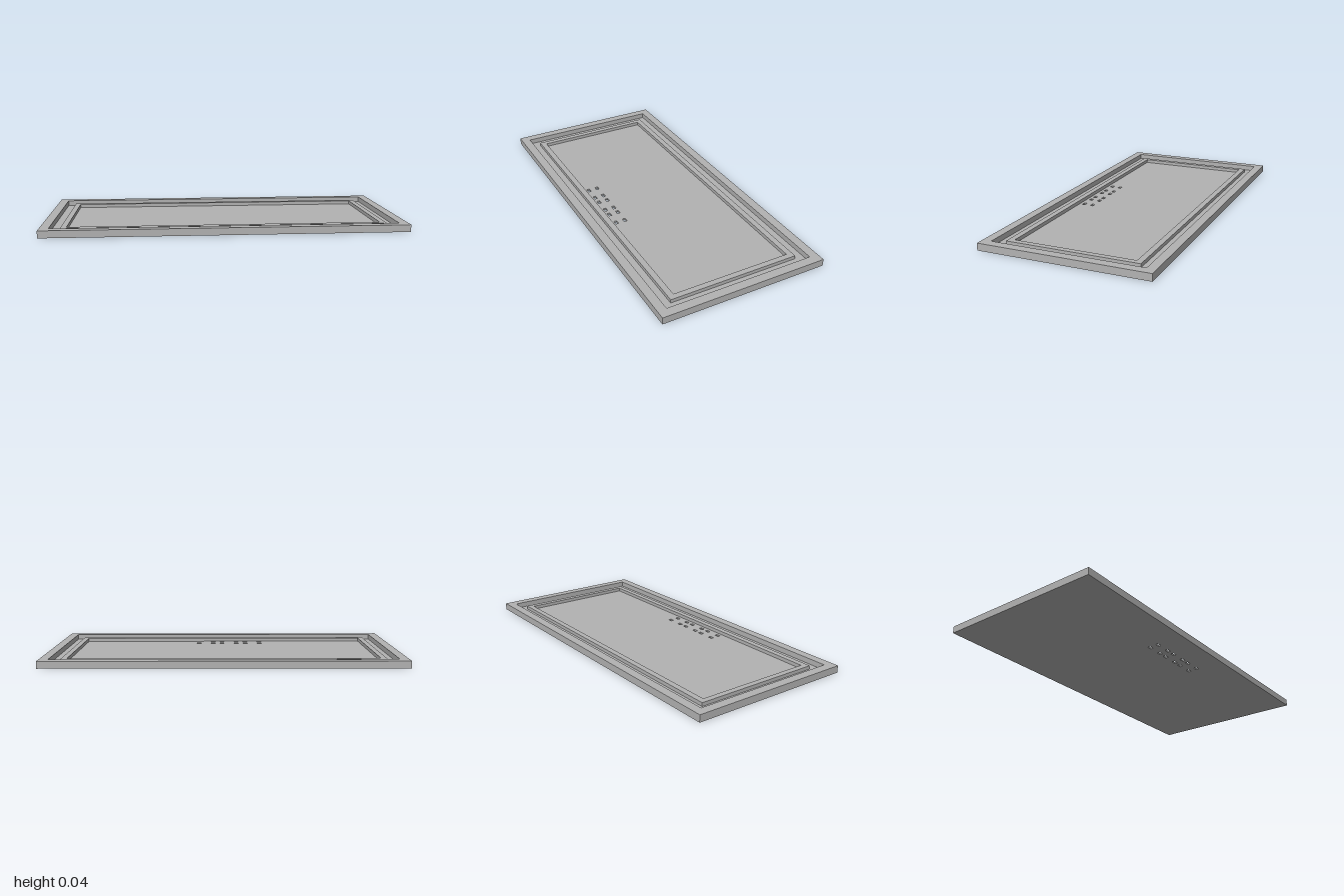
import * as THREE from 'three';

const FLOOR = 0.01, RING_TOP = 0.03, RIM_TOP = 0.04;

// Trace a rectangle centred on (cx, cz) with half sizes hx, hz
function rect(path, hx, hz, cx = 0, cz = 0) {
  path.moveTo(cx - hx, -cz - hz);
  path.lineTo(cx + hx, -cz - hz);
  path.lineTo(cx + hx, -cz + hz);
  path.lineTo(cx - hx, -cz + hz);
  path.closePath();
  return path;
}

// Horizontal slab from y0 to y1 with openings cut through it
function slab(name, material, hx, hz, holes, y0, y1) {
  const shape = rect(new THREE.Shape(), hx, hz);
  shape.holes.push(...holes);
  const geometry = new THREE.ExtrudeGeometry(shape, { depth: y1 - y0, bevelEnabled: false });
  geometry.rotateX(-Math.PI / 2);
  geometry.translate(0, y0, 0);
  const mesh = new THREE.Mesh(geometry, material);
  mesh.name = name;
  return mesh;
}

export function createModel() {
  const group = new THREE.Group();
  group.name = 'steppedTray';
  const grey = new THREE.MeshStandardMaterial({ color: 0xb2b2b2 });
  grey.name = 'grey';

  // Small slots through the floor: three pairs in two rows
  const slots = [];
  for (const z of [0.259, 0.312]) {
    for (const x of [-0.181, -0.035, 0.11]) {
      for (const side of [-1, 1]) {
        slots.push(rect(new THREE.Path(), 0.014, 0.009, x + side * 0.045, z));
      }
    }
  }

  group.add(
    slab('outerRim', grey, 1, 0.475, [rect(new THREE.Path(), 0.949, 0.425)], 0, RIM_TOP),
    slab('floor', grey, 0.949, 0.425, slots, 0, FLOOR),
    // Raised lip standing inside the channel
    slab('innerRing', grey, 0.896, 0.373, [rect(new THREE.Path(), 0.864, 0.34)], FLOOR, RING_TOP)
  );
  return group;
}
